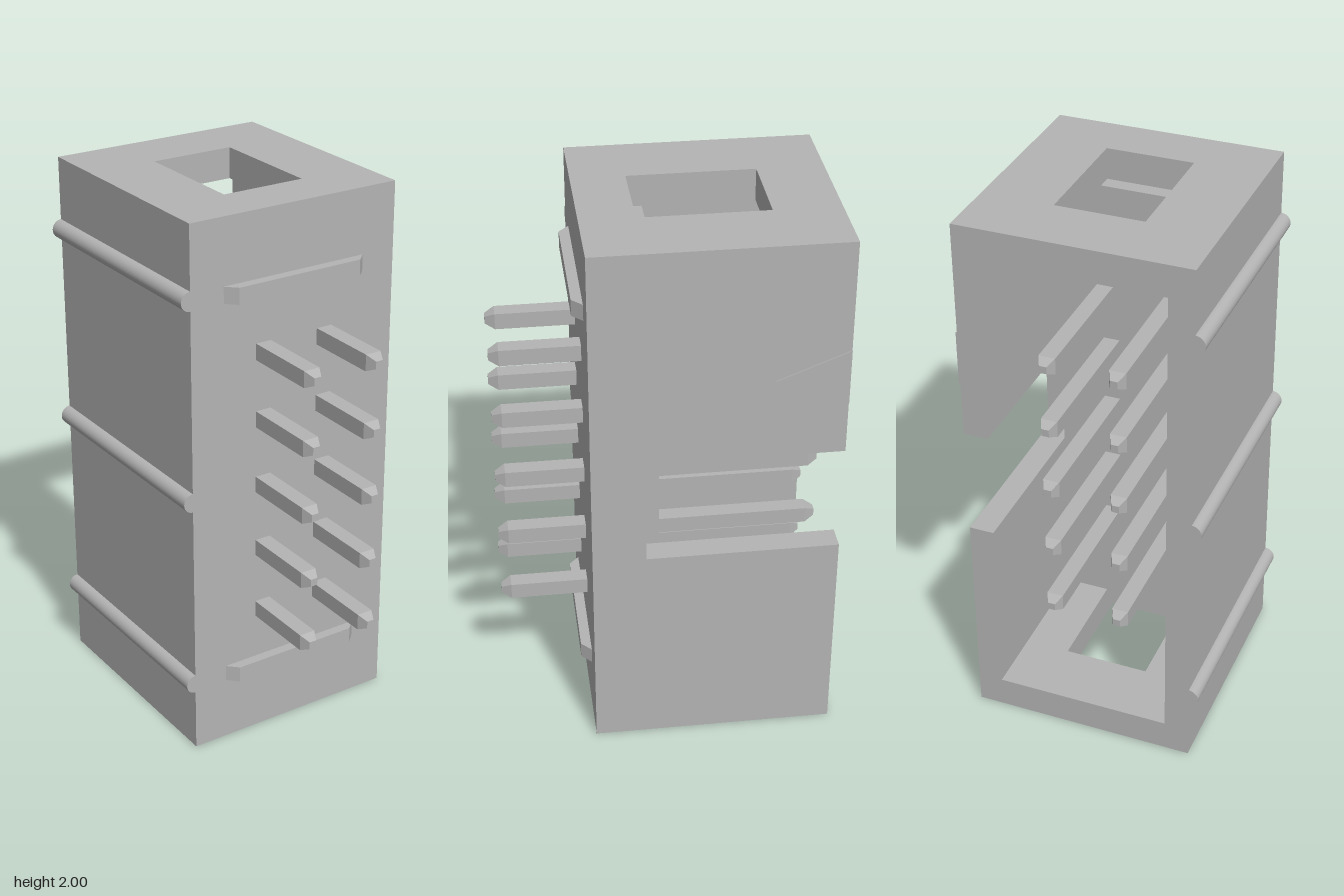
import * as THREE from 'three';

const grey = new THREE.MeshStandardMaterial({ color: 0xb4b4b4 });

// Housing limits
const X0 = -0.4, X1 = 0.425, XC = (X0 + X1) / 2;
const BACK = -0.595, FRONT = 0.28, FLOOR = 0.035, RECESS = 0.09;
const WALL = 0.09, CAP = 0.115, H = 2;

function add(group, name, geometry, x = 0, y = 0, z = 0) {
  const mesh = new THREE.Mesh(geometry, grey);
  mesh.name = name;
  mesh.position.set(x, y, z);
  group.add(mesh);
  return mesh;
}

const polygon = (points) => points.map(([a, b]) => new THREE.Vector2(a, b));
const rect = (a0, a1, b0, b1) => polygon([[a0, b0], [a1, b0], [a1, b1], [a0, b1]]);
const extrude = (shape, depth) => new THREE.ExtrudeGeometry(shape, { depth, bevelEnabled: false });

// Box between two corners
function block(x0, x1, y0, y1, z0, z1) {
  return new THREE.BoxGeometry(x1 - x0, y1 - y0, z1 - z0)
    .translate((x0 + x1) / 2, (y0 + y1) / 2, (z0 + z1) / 2);
}

// Square pin along z with chamfered tips
function pinGeometry() {
  const zs = [BACK + 0.035, BACK + 0.07, 0.56, 0.595];
  const geo = new THREE.BoxGeometry(0.06, 0.06, 3, 1, 1, 3);
  const p = geo.attributes.position;
  for (let i = 0; i < p.count; i++) {
    const ring = Math.round(p.getZ(i) + 1.5);
    const k = ring === 0 || ring === 3 ? 0.45 : 1;
    p.setXYZ(i, p.getX(i) * k, p.getY(i) * k, zs[ring]);
  }
  const flat = geo.toNonIndexed();
  flat.computeVertexNormals();
  return flat;
}

export function createModel() {
  const model = new THREE.Group();
  model.name = 'boxHeader';

  // End caps, each with a rectangular window
  const capShape = new THREE.Shape(rect(X0, X1, -FRONT, -BACK));
  capShape.holes.push(new THREE.Path(rect(XC - 0.1575, XC + 0.1575, -RECESS, 0.36)));
  const cap = extrude(capShape, CAP).rotateX(-Math.PI / 2);
  add(model, 'bottomCap', cap);
  add(model, 'topCap', cap, 0, H - CAP);

  // Plain wall, and the opposite wall with its key notch
  add(model, 'plainWall', block(X0, X0 + WALL, CAP, H - CAP, BACK, FRONT));
  const notched = new THREE.Shape(polygon([
    [-FRONT, CAP], [-BACK, CAP], [-BACK, 0.8], [-RECESS, 0.8],
    [-RECESS, 1.2], [-BACK, 1.2], [-BACK, H - CAP], [-FRONT, H - CAP],
  ]));
  add(model, 'notchedWall', extrude(notched, WALL).rotateY(Math.PI / 2), X1 - WALL);

  // Floor that carries the pins
  add(model, 'pinFloor', block(X0 + WALL, X1 - WALL, CAP, H - CAP, FLOOR, FRONT));

  // Two columns of five pins
  const pins = new THREE.Group();
  pins.name = 'pins';
  model.add(pins);
  const pin = pinGeometry();
  for (const dx of [-0.125, 0.125]) {
    for (let i = 0; i < 5; i++) add(pins, 'pin', pin, XC + dx, 0.5 + i * 0.25);
  }

  // Standoff bars with sloping ends on the front
  const barShape = new THREE.Shape(polygon([
    [XC - 0.283, -FRONT], [XC - 0.245, -0.317], [XC + 0.245, -0.317], [XC + 0.283, -FRONT],
  ]));
  const bar = extrude(barShape, 0.06).rotateX(-Math.PI / 2);
  for (const y of [0.24, 1.7]) add(model, 'standoffBar', bar, 0, y);

  // Half-round ribs along the plain wall
  const ribShape = new THREE.Shape();
  ribShape.absarc(0, 0, 0.035, Math.PI / 2, Math.PI * 1.5, false);
  const rib = new THREE.ExtrudeGeometry(ribShape, {
    depth: FRONT - BACK, bevelEnabled: false, curveSegments: 16,
  });
  for (const y of [0.27, 1, 1.735]) add(model, 'sideRib', rib, X0, y, BACK);

  // Thin triangular pin-one mark on the notched wall
  const mark = new THREE.Shape(polygon([[0.345, 1.5], [-BACK, 1.4], [-BACK, 1.6]]));
  add(model, 'pinOneMark', extrude(mark, 0.005).rotateY(Math.PI / 2), X1);

  return model;
}
